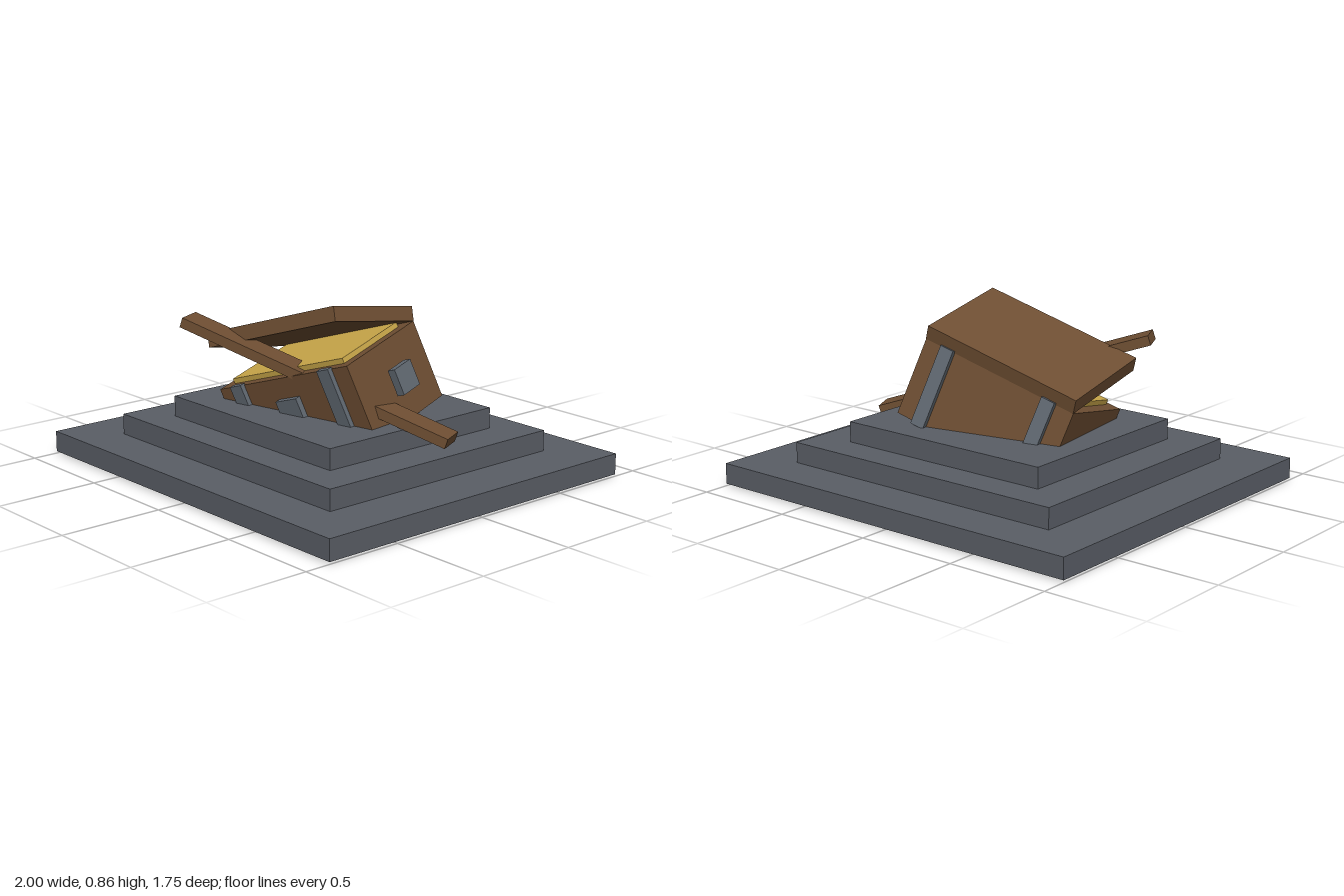
import * as THREE from 'three';

const material = (name, color) => {
  const m = new THREE.MeshStandardMaterial({ color });
  m.name = name;
  return m;
};

export function createModel() {
  const stone = material('stone', 0x5a5e66);
  const wood = material('wood', 0x6f4f33);
  const steel = material('steel', 0x626a73);
  const gold = material('gold', 0xcdaa4b);

  const model = new THREE.Group();
  model.name = 'treasureChest';

  const box = (parent, name, mat, size, position) => {
    const mesh = new THREE.Mesh(new THREE.BoxGeometry(...size), mat);
    mesh.name = name;
    mesh.position.set(...position);
    parent.add(mesh);
    return mesh;
  };

  // Stepped plinth
  [[2, 1.75], [1.5, 1.31], [1.12, 0.98]].forEach(([w, d], i) =>
    box(model, `plinthStep${i + 1}`, stone, [w, 0.1, d], [0, 0.062 + i * 0.099, 0]));

  // Tilted chest, half sunk into the plinth
  const W = 0.817, H = 0.378, D = 0.525;
  const chest = new THREE.Group();
  chest.name = 'chest';
  chest.position.set(0, 0.355, 0);
  chest.rotation.set(0.21, 0.205, 0.27);
  model.add(chest);
  box(chest, 'chestBody', wood, [W, H, D], [0, 0, 0]);
  box(chest, 'goldHeap', gold, [W - 0.11, 0.05, D - 0.1], [0, H / 2, 0]);

  // Lid hinged along the back top edge
  const lid = new THREE.Group();
  lid.name = 'lid';
  lid.position.set(0, H / 2, -D / 2);
  lid.rotation.x = -0.388;
  chest.add(lid);
  box(lid, 'lidBoard', wood, [W, 0.07, D + 0.005], [0, 0.035, D / 2]);

  // Steel straps on front and back
  for (const x of [-0.28, 0.28])
    for (const side of [-1, 1])
      box(chest, side > 0 ? 'frontStrap' : 'backStrap', steel,
        [0.07, H + 0.016, 0.03], [x, 0, side * (D / 2 + 0.01)]);

  // Lock plate and end plate
  box(chest, 'lockPlate', steel, [0.13, 0.14, 0.04], [0, 0.02, D / 2 + 0.01]);
  box(chest, 'endPlate', steel, [0.04, 0.125, 0.125], [0.463, 0.01, 0]);

  // Loose plank driven through the chest
  const plank = box(model, 'plank', wood, [1.38, 0.048, 0.132], [0.121, 0.48, 0.19]);
  const along = new THREE.Vector3(1.187, -0.425, -0.557).normalize();
  const across = new THREE.Vector3(0.557, 0, 1.187).normalize();
  const up = new THREE.Vector3().crossVectors(across, along);
  plank.quaternion.setFromRotationMatrix(new THREE.Matrix4().makeBasis(along, up, across));

  return model;
}
